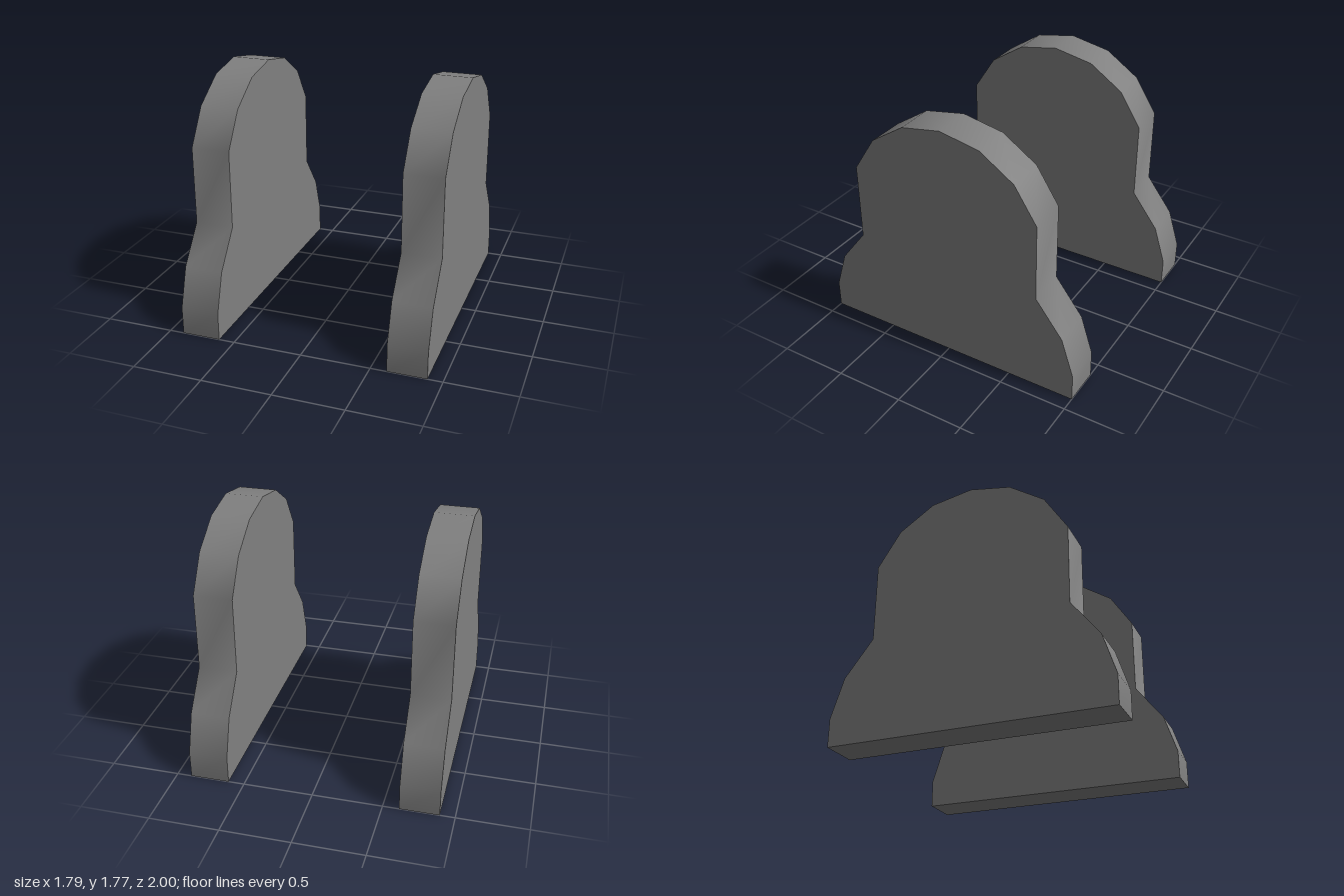
import * as THREE from 'three';
import { toCreasedNormals } from 'three/addons/utils/BufferGeometryUtils.js';

const THICKNESS = 0.28;
const OFFSET = 0.755; // panel centre from the middle

// Half outline of a panel: [z, y] from the foot up to the crown
const HALF_OUTLINE = [
  [1, 0], [1, 0.2], [0.91, 0.48], [0.71, 0.74],
  [0.71, 1.3], [0.545, 1.555], [0.295, 1.72],
];

function panelGeometry() {
  const mirrored = HALF_OUTLINE.map(([z, y]) => [-z, y]).reverse();
  const outline = [...HALF_OUTLINE, [0, 1.775], ...mirrored];
  const shape = new THREE.Shape(outline.map(([z, y]) => new THREE.Vector2(z, y)));
  const geometry = new THREE.ExtrudeGeometry(shape, { depth: THICKNESS, bevelEnabled: false });
  geometry.translate(0, 0, -THICKNESS / 2);
  geometry.rotateY(Math.PI / 2);
  // Smooth rim, sharp faces and foot
  return toCreasedNormals(geometry, Math.PI / 3);
}

export function createModel() {
  const model = new THREE.Group();
  model.name = 'sidePanels';

  const grey = new THREE.MeshStandardMaterial({ color: 0x808080 });
  grey.name = 'grey';

  // Two matching upright end panels
  const geometry = panelGeometry();
  for (const [name, side] of [['leftPanel', 1], ['rightPanel', -1]]) {
    const panel = new THREE.Mesh(geometry, grey);
    panel.name = name;
    panel.position.x = side * OFFSET;
    model.add(panel);
  }
  return model;
}
